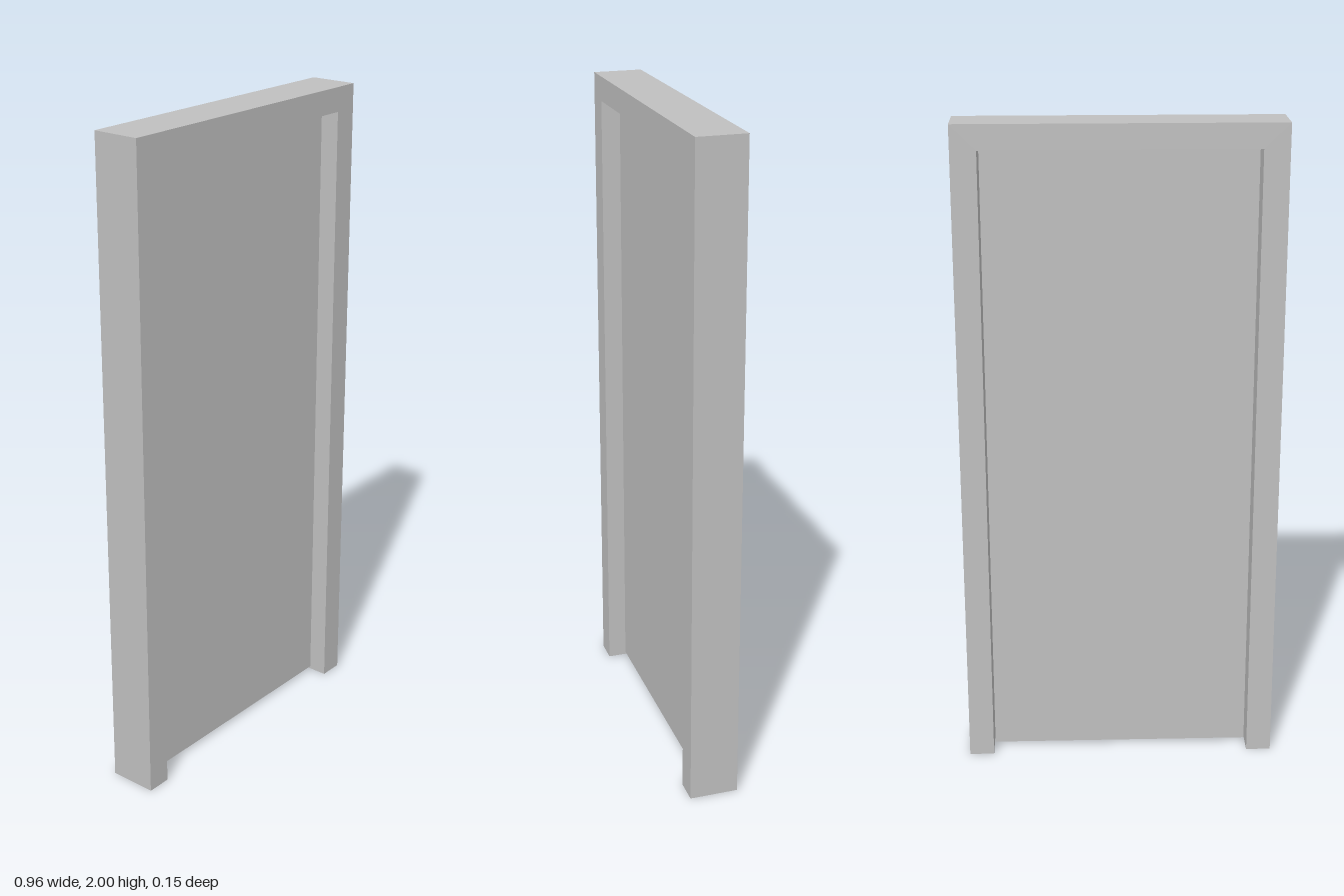
import * as THREE from 'three';

export function createModel() {
  const group = new THREE.Group();
  group.name = 'door';
  const grey = new THREE.MeshStandardMaterial({ name: 'plain grey', color: 0xc0c0c0 });

  const outer = 0.48, inner = 0.404, height = 2, opening = 1.926, depth = 0.148;

  // Door frame: two jambs and a head in one piece, open at the floor
  const outline = new THREE.Shape([
    [-outer, 0], [-inner, 0], [-inner, opening], [inner, opening],
    [inner, 0], [outer, 0], [outer, height], [-outer, height],
  ].map(([x, y]) => new THREE.Vector2(x, y)));
  const frameGeometry = new THREE.ExtrudeGeometry(outline, { depth, bevelEnabled: false });
  frameGeometry.translate(0, 0, -depth / 2);
  const frame = new THREE.Mesh(frameGeometry, grey);
  frame.name = 'doorFrame';
  group.add(frame);

  // Door leaf: thin slab set midway in the frame, with small gaps around it
  const bottom = 0.01, top = 1.916;
  const leaf = new THREE.Mesh(new THREE.BoxGeometry(0.802, top - bottom, 0.034), grey);
  leaf.name = 'doorLeaf';
  leaf.position.y = (top + bottom) / 2;
  group.add(leaf);

  return group;
}
